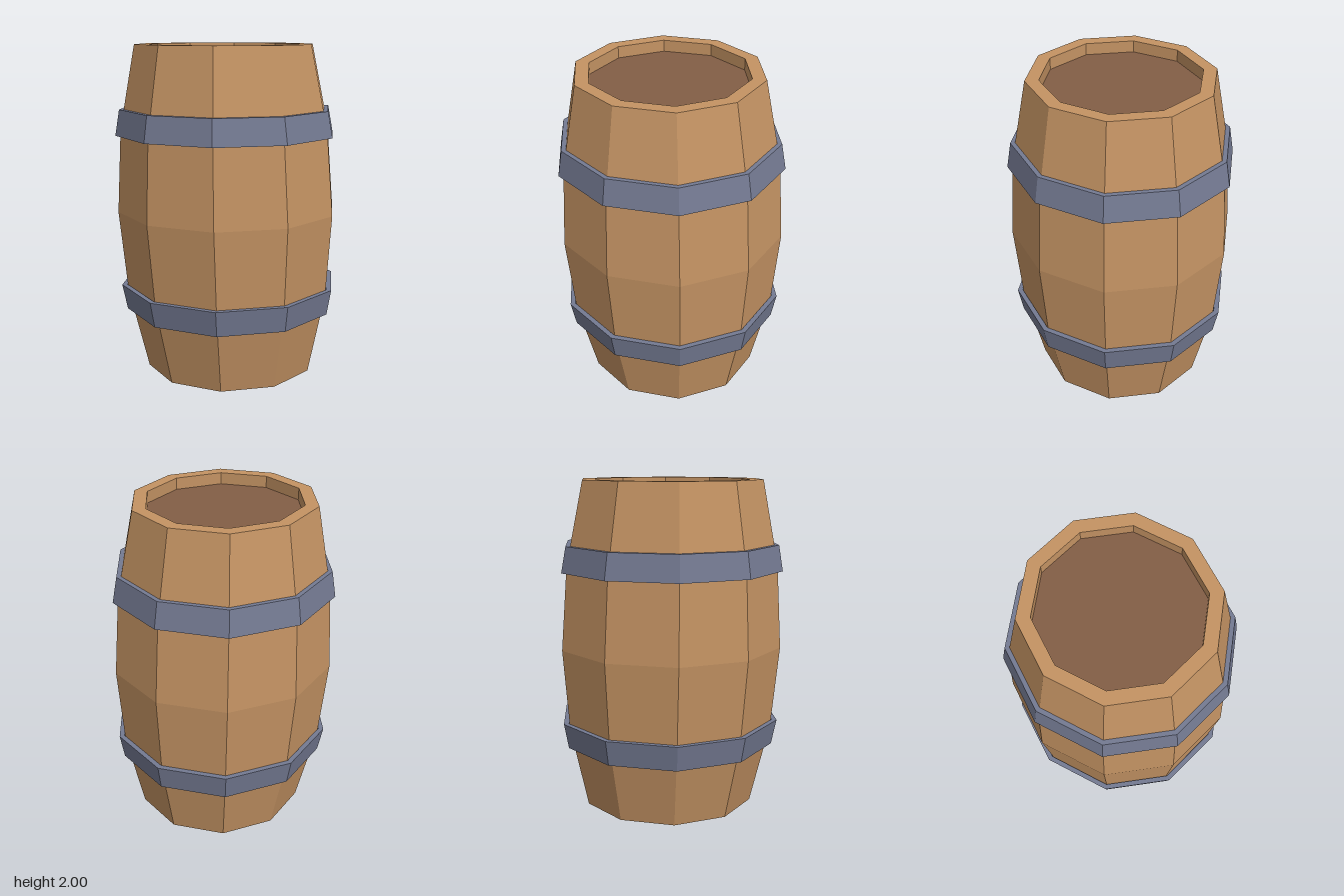
import * as THREE from 'three';

const SIDES = 10;

// Flat-faced ten-sided ring or disc from [radius, height] points, with a slight hand-made lean
function turned(name, material, profile) {
  const points = profile.map(([r, y]) => new THREE.Vector2(r, y));
  const geometry = new THREE.LatheGeometry(points, SIDES, Math.PI / 2).toNonIndexed();
  const p = geometry.attributes.position;
  for (let i = 0; i < p.count; i++) {
    const x = p.getX(i), y = p.getY(i), z = p.getZ(i);
    p.setXYZ(i, x - 0.0175 * (y - 1), y, z - 0.023 * x);
  }
  geometry.computeVertexNormals();
  const mesh = new THREE.Mesh(geometry, material);
  mesh.name = name;
  return mesh;
}

// Closed metal band between two heights
function hoop(name, material, y0, r0, y1, r1) {
  const t = 0.032;
  return turned(name, material, [[r0 - t, y0], [r0, y0], [r1, y1], [r1 - t, y1], [r0 - t, y0]]);
}

export function createModel() {
  const wood = new THREE.MeshStandardMaterial({ color: 0xc49363 });
  const darkWood = new THREE.MeshStandardMaterial({ color: 0x835e46 });
  const metal = new THREE.MeshStandardMaterial({ color: 0x747a92 });
  wood.name = 'wood';
  darkWood.name = 'darkWood';
  metal.name = 'metal';

  const barrel = new THREE.Group();
  barrel.name = 'barrel';
  barrel.add(
    // bulging staves, flat rim and the inner wall of the recess
    turned('staves', wood, [
      [0.528, 0], [0.64, 0.5], [0.682, 1], [0.648, 1.5], [0.548, 2], [0.468, 2], [0.468, 1.93],
    ]),
    // recessed lid and base
    turned('lid', darkWood, [[0.468, 1.93], [0, 1.93]]),
    turned('base', darkWood, [[0, 0], [0.528, 0]]),
    // hoops flare towards the middle of the barrel
    hoop('upperHoop', metal, 1.465, 0.68, 1.62, 0.652),
    hoop('lowerHoop', metal, 0.385, 0.65, 0.54, 0.679),
  );
  return barrel;
}
